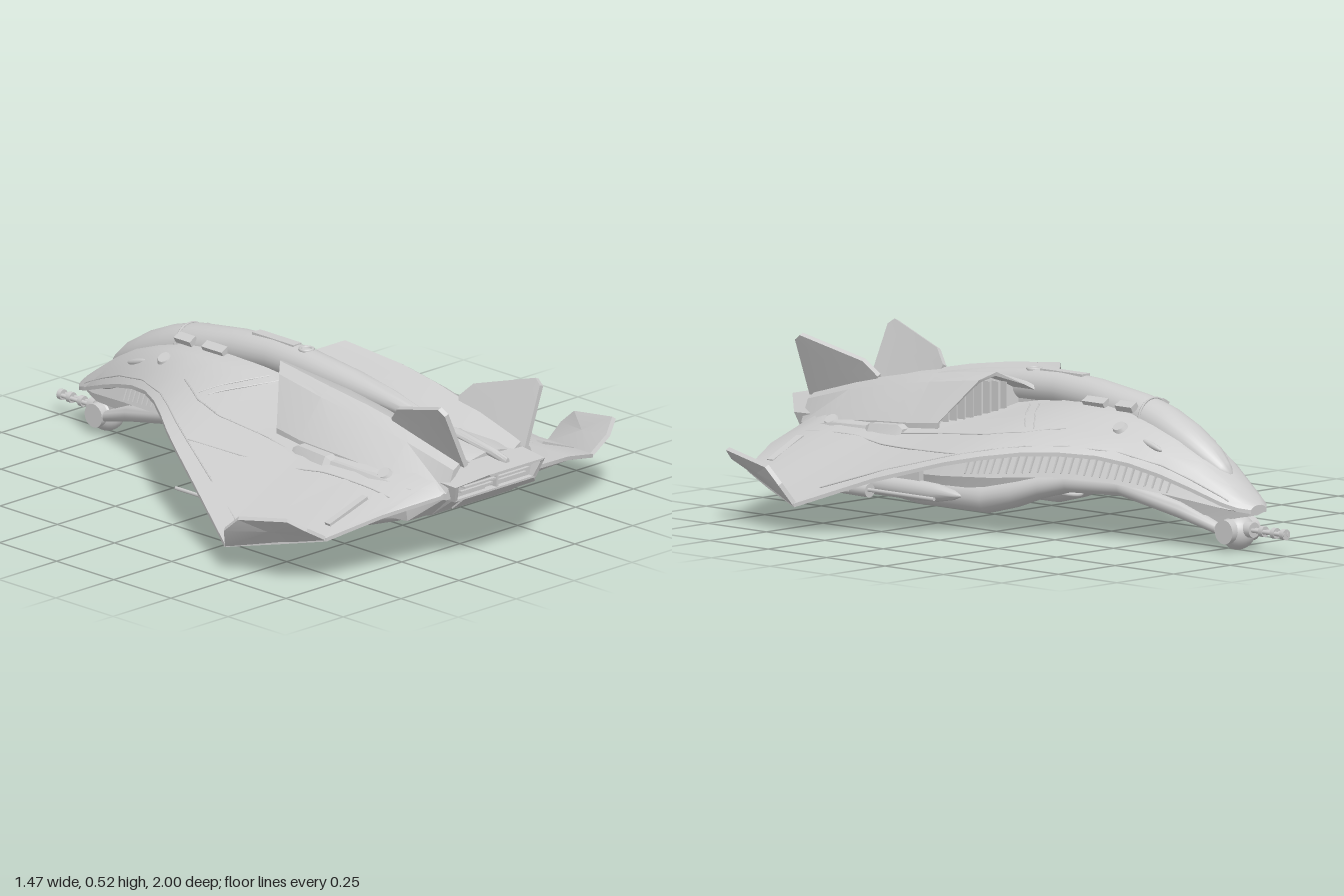
import * as THREE from 'three';
import { toCreasedNormals } from 'three/addons/utils/BufferGeometryUtils.js';

const grey = new THREE.MeshStandardMaterial({ color: 0xcccccc });

// Closed skin through rings of [x, y, z] points, capped at both ends, always facing outward
function loft(rings, crease = 0.6) {
  const n = rings[0].length, pos = rings.flat(2), idx = [];
  for (let r = 0; r < rings.length - 1; r++)
    for (let i = 0; i < n; i++) {
      const a = r * n + i, b = r * n + (i + 1) % n;
      idx.push(a, b, b + n, a, b + n, a + n);
    }
  [0, rings.length - 1].forEach((r) => {
    const c = pos.length / 3;
    for (let k = 0; k < 3; k++) pos.push(rings[r].reduce((s, p) => s + p[k], 0) / n);
    for (let i = 0; i < n; i++) {
      const a = r * n + i, b = r * n + (i + 1) % n;
      idx.push(...(r ? [c, a, b] : [c, b, a]));
    }
  });
  const v = (i) => new THREE.Vector3().fromArray(pos, i * 3);
  let volume = 0;
  for (let i = 0; i < idx.length; i += 3) volume += v(idx[i]).dot(v(idx[i + 1]).cross(v(idx[i + 2])));
  if (volume < 0) idx.reverse();
  const g = new THREE.BufferGeometry();
  g.setAttribute('position', new THREE.Float32BufferAttribute(pos, 3));
  g.setIndex(idx);
  return toCreasedNormals(g, crease);
}

// Mirror a geometry across x and restore its winding
function mirror(geo) {
  const g = geo.index ? geo.toNonIndexed() : geo.clone();
  g.scale(-1, 1, 1);
  for (const a of Object.values(g.attributes))
    for (let i = 0; i < a.count; i += 3)
      for (let k = 0; k < a.itemSize; k++) {
        const t = a.getComponent(i, k);
        a.setComponent(i, k, a.getComponent(i + 2, k));
        a.setComponent(i + 2, k, t);
      }
  return g;
}

// Flat plate with thickness from an outline in space
function plate(pts, t) {
  const p = pts.map((q) => new THREE.Vector3(...q));
  const n = p[1].clone().sub(p[0]).cross(p[p.length - 1].clone().sub(p[0])).setLength(t);
  return loft([p.map((q) => q.clone().add(n).toArray()), p.map((q) => q.clone().sub(n).toArray())], 0.3);
}

const ellipse = (x, y, z, rx, ry, n = 20) => Array.from({ length: n }, (_, i) => {
  const a = i / n * Math.PI * 2;
  return [x + rx * Math.cos(a), y + ry * Math.sin(a), z];
});
const both = (half) => [...half, ...half.filter((p) => p[0] > 0).reverse().map(([x, y, z]) => [-x, y, z])];
const box = (w, h, d, x, y, z) => new THREE.BoxGeometry(w, h, d).translate(x, y, z);
const rod = (r0, r1, z0, z1, x, y, n = 16) =>
  new THREE.CylinderGeometry(r0, r1, z1 - z0, n).rotateX(-Math.PI / 2).translate(x, y, (z0 + z1) / 2);
const curve = (pts) => new THREE.CatmullRomCurve3(pts.map((p) => new THREE.Vector3(...p)));

// Hull stations: z, centre y, shoulder x y, mid x y, edge x y
const hull = [
  [-0.88, 0.148, 0.012, 0.147, 0.025, 0.143, 0.035, 0.135],
  [-0.85, 0.17, 0.03, 0.168, 0.048, 0.158, 0.065, 0.142],
  [-0.8, 0.207, 0.04, 0.202, 0.065, 0.185, 0.087, 0.157],
  [-0.7, 0.278, 0.06, 0.267, 0.09, 0.243, 0.118, 0.195],
  [-0.6, 0.337, 0.075, 0.32, 0.115, 0.285, 0.15, 0.23],
  [-0.5, 0.375, 0.088, 0.355, 0.135, 0.315, 0.183, 0.257],
  [-0.4, 0.402, 0.1, 0.378, 0.16, 0.332, 0.225, 0.274],
  [-0.3, 0.415, 0.11, 0.388, 0.185, 0.34, 0.285, 0.28],
  [-0.2, 0.415, 0.11, 0.39, 0.21, 0.343, 0.355, 0.277],
  [-0.1, 0.41, 0.11, 0.383, 0.23, 0.338, 0.425, 0.262],
  [0, 0.4, 0.1, 0.368, 0.25, 0.325, 0.485, 0.24],
  [0.2, 0.375, 0.09, 0.335, 0.27, 0.3, 0.59, 0.18],
  [0.43, 0.37, 0.09, 0.335, 0.28, 0.292, 0.7, 0.09],
  [0.6, 0.362, 0.09, 0.34, 0.28, 0.283, 0.64, 0.125],
  [0.75, 0.355, 0.09, 0.335, 0.27, 0.265, 0.575, 0.155],
  [0.82, 0.345, 0.09, 0.33, 0.24, 0.25, 0.4, 0.205],
  [0.88, 0.335, 0.08, 0.32, 0.19, 0.245, 0.21, 0.235],
];
function station(z) {
  const i = Math.max(1, hull.findIndex((h) => h[0] >= z)), a = hull[i - 1], b = hull[i];
  return a.map((q, k) => THREE.MathUtils.lerp(q, b[k], (z - a[0]) / (b[0] - a[0])));
}
function hullY(x, z) {
  const [, yc, ...s] = station(z), xs = [0, s[0], s[2], s[4]], ys = [yc, s[1], s[3], s[5]];
  const i = x < xs[1] ? 0 : x < xs[2] ? 1 : 2;
  return THREE.MathUtils.mapLinear(x, xs[i], xs[i + 1], ys[i], ys[i + 1]);
}

export function createModel() {
  const model = new THREE.Group();
  const add = (name, g) => {
    const m = new THREE.Mesh(g, grey);
    m.name = name;
    model.add(m);
  };
  const pair = (name, g) => { add(name + 'Left', g); add(name + 'Right', mirror(g)); };

  // Blended hull and delta wing
  add('hullAndWings', loft(hull.map(([z, yc, xs, ys, xm, ym, w, ye]) => {
    const t = z > 0.78 ? 0.03 : z < -0.78 ? 0.02 : 0.07;
    return both([[0, yc, z], [xs, ys, z], [xm, ym, z], [w, ye, z], [w, ye - 0.012, z],
      [xm * 0.95, ym - t, z], [0, Math.min(ym - t, yc - 0.03), z]]);
  }), 0.5));

  // Upturned wing tips
  pair('wingtip', plate([[0.695, 0.085, 0.43], [0.575, 0.152, 0.745], [0.65, 0.195, 0.74],
    [0.705, 0.232, 0.71], [0.728, 0.2, 0.52], [0.73, 0.15, 0.46]], 0.007));

  // Canopy and spine: z, half width, top y
  add('canopyAndSpine', loft([[-0.765, 0.006, 0.235], [-0.74, 0.028, 0.265], [-0.69, 0.05, 0.312], [-0.6, 0.066, 0.368],
    [-0.5, 0.07, 0.412], [-0.4, 0.066, 0.44], [-0.2, 0.06, 0.468], [-0.05, 0.057, 0.477], [0.1, 0.056, 0.472],
    [0.3, 0.049, 0.45], [0.45, 0.037, 0.425], [0.58, 0.022, 0.395], [0.645, 0.005, 0.365]]
    .map(([z, w, y]) => ellipse(0, y - w * 0.98, z, w, w * 0.98, 24)), 0.8));
  add('canopyFrame', new THREE.TorusGeometry(0.067, 0.004, 6, 32, Math.PI).translate(0, 0.366, -0.43));
  add('spineHatch', box(0.036, 0.01, 0.18, 0, 0.472, -0.05));
  add('spinePort', new THREE.TorusGeometry(0.02, 0.006, 8, 20).rotateX(Math.PI / 2).translate(0, 0.47, 0.08));
  [[-0.38, 0.07], [-0.25, 0.09]].forEach(([z, d], i) =>
    pair('spineSideBlock' + i, new THREE.BoxGeometry(0.03, 0.02, d).rotateZ(-0.5).translate(0.068, 0.408, z)));

  // Engine housings with swept, recessed intakes
  const engine = ([z, top, ridge, xo, yo], front) => [[0.03, top - 0.06], [0.07, top - 0.03], [ridge, top],
    [ridge + 0.04, top - 0.025], [xo, yo], [xo, 0.22], [0.03, 0.22]].map(([x, y]) => [x, y, front ? 0.9 * x - 0.02 : z]);
  const mouth = engine([0, 0.472, 0.14, 0.275, 0.315], true);
  const inset = (dz) => mouth.map(([x, y, z]) => [0.15 + (x - 0.15) * 0.9, 0.35 + (y - 0.35) * 0.9, z + dz]);
  pair('engineHousing', loft([inset(0.1), inset(0.004), mouth, ...[[0.34, 0.448, 0.155, 0.287, 0.305],
    [0.5, 0.425, 0.15, 0.28, 0.295], [0.7, 0.385, 0.14, 0.26, 0.275], [0.89, 0.335, 0.125, 0.195, 0.24]]
    .map((s) => engine(s))], 0.35));
  for (let i = 0; i < 9; i++) {
    const x = 0.08 + i * 0.019, top = x < 0.18 ? 0.435 : 0.435 - (x - 0.18) * 1.5;
    pair('intakeVane' + i, box(0.004, top - 0.29, 0.03, x, (top + 0.29) / 2, x * 0.9 + 0.065));
  }

  // Canted tail fins
  pair('tailFin', plate([[0.13, 0.32, 0.91], [0.205, 0.5, 0.9], [0.21, 0.517, 0.875], [0.165, 0.455, 0.65],
    [0.145, 0.41, 0.605], [0.12, 0.33, 0.63]], 0.008));

  // Exhaust block with overhanging upper lip and recessed slats
  const tail = (s, dz, lip) => both([[lip ? 0.12 : 0.14, 0.325, lip ? 1 : 0.8], [0.19, 0.27, lip ? 0.925 : 0.8], [0.175, 0.212, lip ? 0.905 : 0.8]]
    .map(([x, y, z]) => [x * s, 0.268 + (y - 0.268) * (s * 1.6 - 0.6) - (lip ? (z - 0.905) * 0.15 : 0), z + dz]));
  add('exhaustBlock', loft([tail(1, 0), tail(1, 0, true), tail(0.93, 0, true), tail(0.9, -0.07, true)], 0.3));
  for (let i = 0; i < 4; i++) add('exhaustSlat' + i, box(0.28, 0.006, 0.05, 0, 0.235 + i * 0.018, 0.875 + i * 0.014));
  add('exhaustDivider', box(0.01, 0.08, 0.06, 0, 0.265, 0.885));
  add('tailRidge', loft([[0.71, 0.012, 0.368], [0.74, 0.022, 0.372], [0.9, 0.015, 0.345], [0.96, 0.008, 0.328]]
    .map(([z, w, y]) => ellipse(0, y - 0.015, z, w, 0.015, 12))));

  // Lower fuselage with a shelf: z, wall top x y, shelf lip x y, bottom x y
  const lower = [[-0.86, 0.02, 0.14, 0.03, 0.125, 0.02, 0.112], [-0.8, 0.035, 0.16, 0.055, 0.13, 0.04, 0.1],
    [-0.6, 0.08, 0.24, 0.12, 0.163, 0.075, 0.108], [-0.4, 0.125, 0.275, 0.17, 0.184, 0.1, 0.14],
    [-0.2, 0.18, 0.28, 0.225, 0.186, 0.13, 0.135], [0, 0.24, 0.26, 0.285, 0.17, 0.16, 0.108],
    [0.18, 0.27, 0.24, 0.31, 0.16, 0.185, 0.085], [0.4, 0.285, 0.22, 0.28, 0.147, 0.19, 0.08],
    [0.65, 0.285, 0.215, 0.28, 0.14, 0.185, 0.105], [0.8, 0.285, 0.21, 0.275, 0.15, 0.175, 0.145],
    [0.88, 0.19, 0.24, 0.18, 0.225, 0.15, 0.21]];
  add('lowerFuselage', loft(lower.map(([z, a, y, lx, ly, b, yb]) =>
    both([[a, y, z], [lx, ly, z], [b * 1.08, ly * 0.85 + yb * 0.15, z], [b, yb, z]])), 0.4));
  add('rearBellyHatch', new THREE.BoxGeometry(0.2, 0.012, 0.07).rotateX(-0.69).translate(0, 0.18, 0.842));
  add('bellyHatch', new THREE.TorusGeometry(0.045, 0.008, 8, 28).scale(1, 1.9, 1).rotateX(Math.PI / 2 - 0.13).translate(0, 0.111, -0.02));

  // Smooth belly nacelles: z, x, y, width radius, height radius
  pair('bellyNacelle', loft([[0.74, 0.18, 0.145, 0.01, 0.008], [0.66, 0.172, 0.12, 0.03, 0.026], [0.53, 0.16, 0.087, 0.046, 0.04],
    [0.4, 0.156, 0.078, 0.049, 0.046], [0.12, 0.155, 0.08, 0.049, 0.046], [0, 0.15, 0.107, 0.045, 0.042],
    [-0.1, 0.142, 0.138, 0.038, 0.036], [-0.2, 0.13, 0.16, 0.031, 0.031], [-0.4, 0.105, 0.165, 0.029, 0.029],
    [-0.62, 0.07, 0.112, 0.027, 0.027], [-0.75, 0.045, 0.065, 0.018, 0.018]].map((s) => ellipse(s[1], s[2], s[0], s[3], s[4])), 0.9));

  // Fine ribs in the slot under the leading edge
  const wall = curve(lower.slice(1, 7).map(([z, a, y, lx, ly]) => [(a + lx) / 2, (ly + y) / 2, z]));
  for (let i = 0; i < 28; i++) {
    const p = wall.getPoint(0.2 + i * 0.026);
    pair('slotRib' + i, new THREE.BoxGeometry(0.01, 0.075, 0.005).rotateZ(0.4).translate(p.x, p.y, p.z));
  }

  // Chin turret and twin barrels
  add('chinTurret', new THREE.SphereGeometry(0.055, 24, 16).translate(0, 0.055, -0.79));
  add('turretDrum', new THREE.CylinderGeometry(0.038, 0.038, 0.125, 20).rotateZ(Math.PI / 2).translate(0, 0.06, -0.79));
  add('turretMount', box(0.06, 0.07, 0.13, 0, 0.105, -0.74));
  add('barrelShroud', rod(0.024, 0.028, -0.86, -0.8, 0, 0.067));
  pair('gunBarrel', rod(0.007, 0.007, -1, -0.82, 0.008, 0.067, 10));
  [-0.99, -0.95, -0.9].forEach((z, i) => add('barrelClamp' + i, rod(0.017, 0.017, z - 0.008, z + 0.008, 0, 0.067)));

  // Underwing stores on pylons
  pair('innerPylon', box(0.018, 0.08, 0.22, 0.345, 0.17, 0.34));
  pair('pylonShoe', box(0.05, 0.03, 0.2, 0.345, 0.19, 0.36));
  pair('fuelPod', loft([[0.06, 0.003], [0.09, 0.015], [0.16, 0.028], [0.25, 0.032], [0.42, 0.032], [0.48, 0.025], [0.52, 0.008]]
    .map(([z, r]) => ellipse(0.345, 0.113, z, r, r)), 0.8));
  pair('outerPylon', box(0.016, 0.05, 0.18, 0.5, 0.147, 0.43));
  pair('wingGun', rod(0.022, 0.018, 0.3, 0.56, 0.5, 0.122, 12));
  pair('wingGunHousing', box(0.05, 0.022, 0.14, 0.5, 0.125, 0.44));
  pair('wingGunBarrel', rod(0.006, 0.006, 0.02, 0.32, 0.505, 0.125, 8));

  // Surface details set on the hull
  [[0.13, -0.41], [0.268, 0.69]].forEach(([x, z], i) => pair('roundVent' + i,
    new THREE.CylinderGeometry(0.02, 0.026, 0.012, 20).rotateZ(-0.6).translate(x, hullY(x, z) + 0.002, z)));
  pair('noseVent', new THREE.SphereGeometry(1, 12, 8).scale(0.009, 0.01, 0.045).rotateX(-0.3).translate(0.12, hullY(0.12, -0.54), -0.54));
  pair('wingRootFairing', loft([[0.34, 0.3, 0.288], [0.36, 0.3, 0.3], [0.48, 0.3, 0.293], [0.5, 0.295, 0.282], [0.66, 0.285, 0.275],
    [0.8, 0.25, 0.25]].map(([z, x, y]) => [[x - 0.04, y, z], [x + 0.015, y, z], [x + 0.03, y - 0.03, z], [x - 0.04, y - 0.03, z]]), 0.3));
  pair('flapHinge', new THREE.BoxGeometry(0.16, 0.01, 0.025).rotateZ(-0.37).rotateY(0.1).translate(0.45, hullY(0.45, 0.71) + 0.002, 0.71));

  // Raised panel seams following the hull
  const seam = (pts) => new THREE.TubeGeometry(curve(pts.slice(1).flatMap(([x, z], i) =>
    [0, 0.25, 0.5, 0.75, 1].slice(i ? 1 : 0).map((t) => {
      const sx = THREE.MathUtils.lerp(pts[i][0], x, t), sz = THREE.MathUtils.lerp(pts[i][1], z, t);
      return [sx, hullY(sx, sz), sz];
    }))), 80, 0.0025, 6);
  pair('edgeSeam', seam([-0.82, -0.7, -0.6, -0.45, -0.3, -0.2, -0.1, 0, 0.2, 0.4].map((z) => [station(z)[6] * 0.9, z])));
  pair('innerSeam', seam([[0.2, -0.25], [0.27, -0.12], [0.3, 0], [0.3, 0.2], [0.32, 0.35]]));
  pair('flapSeam', seam([[0.43, 0], [0.41, 0.15], [0.38, 0.37], [0.35, 0.5], [0.33, 0.78]]));
  [0, 0.04].forEach((d, i) => pair('chevronSeam' + i, seam([[0.07, -0.01 + d], [0.15, -0.07 + d], [0.24, -0.15 + d]])));
  return model;
}
